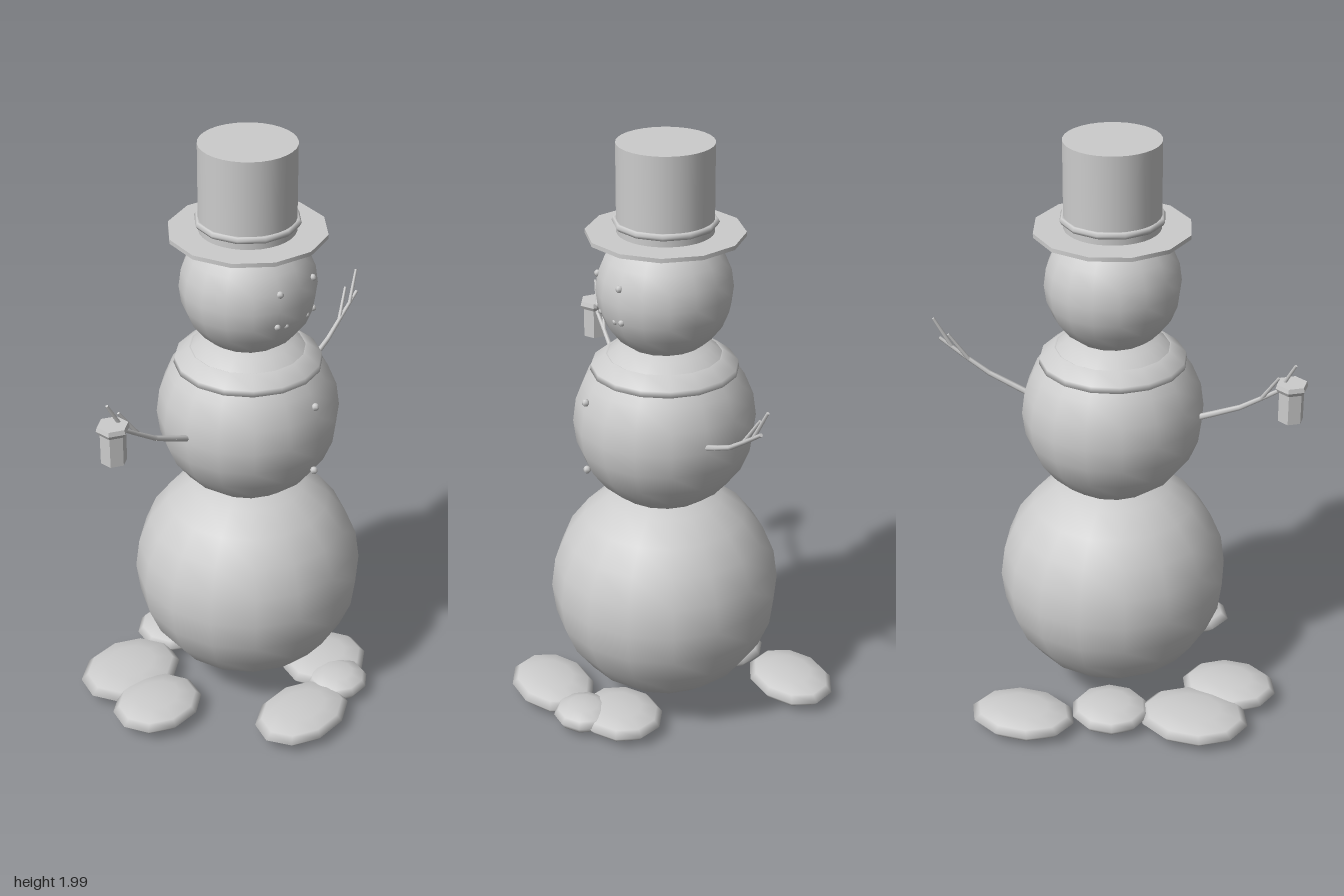
import * as THREE from 'three';

const snowGrey = new THREE.MeshStandardMaterial({ color: 0xcccccc });
const CX = 0.011, CZ = 0.007; // axis of the stacked body

export function createModel() {
  const model = new THREE.Group();
  model.name = 'snowman';

  const add = (name, geometry, x, y, z, parent = model) => {
    const mesh = new THREE.Mesh(geometry, snowGrey);
    mesh.name = name;
    mesh.position.set(x, y, z);
    parent.add(mesh);
    return mesh;
  };

  // Tapered round stick between two points
  const stick = (name, a, b, ra, rb, parent) => {
    const from = new THREE.Vector3(...a), to = new THREE.Vector3(...b);
    const dir = to.clone().sub(from);
    const mid = from.add(to).multiplyScalar(0.5);
    const mesh = add(name, new THREE.CylinderGeometry(rb, ra, dir.length(), 6), mid.x, mid.y, mid.z, parent);
    mesh.quaternion.setFromUnitVectors(new THREE.Vector3(0, 1, 0), dir.normalize());
  };

  // Three snowballs
  for (const [name, r, y] of [['lowerBall', 0.387, 0.44], ['middleBall', 0.302, 1.06], ['head', 0.222, 1.517]]) {
    add(name, new THREE.SphereGeometry(r, 16, 12), CX, y, CZ);
  }

  // Flattened snow mounds round the base: x, z, half width, half depth
  const mounds = [
    [0.215, -0.385, 0.182, 0.136], [-0.065, -0.28, 0.135, 0.13],
    [-0.345, -0.23, 0.19, 0.155], [-0.42, -0.03, 0.165, 0.14],
    [-0.13, 0.375, 0.188, 0.136], [0.09, 0.355, 0.108, 0.103], [0.15, 0.245, 0.16, 0.14],
  ];
  mounds.forEach(([x, z, rx, rz], i) => {
    const mound = add('snowMound', new THREE.SphereGeometry(1, 10, 6), x, 0.048 + (i % 2) * 0.004, z);
    mound.scale.set(rx, 0.042, rz);
  });

  // Hat
  const hat = new THREE.Group();
  hat.name = 'hat';
  hat.position.set(CX, 0, 0.004);
  model.add(hat);
  add('hatBrim', new THREE.CylinderGeometry(0.256, 0.256, 0.014, 12), 0, 1.704, 0, hat);
  add('hatCrown', new THREE.CylinderGeometry(0.156, 0.156, 0.295, 32), 0, 1.8525, 0, hat);
  const band = add('hatBand', new THREE.TorusGeometry(0.159, 0.012, 6, 12), 0, 1.744, 0, hat);
  band.rotation.x = Math.PI / 2;

  // Collar lying on the shoulders
  const collar = [[0.225, 1.235], [0.243, 1.24], [0.24, 1.26], [0.193, 1.297], [0.18, 1.29]];
  add('collar', new THREE.LatheGeometry(collar.map(p => new THREE.Vector2(...p)), 16), CX, 0, CZ);

  // Eyes, mouth pebbles and buttons
  const pebble = (name, x, y, z, r) => add(name, new THREE.SphereGeometry(r, 6, 5), x, y, z);
  for (const s of [-1, 1]) {
    pebble('eye', CX + s * 0.079, 1.575, 0.205, 0.012);
    pebble('mouthPebble', CX + s * 0.087, 1.464, 0.202, 0.011);
    pebble('mouthPebble', CX + s * 0.05, 1.456, 0.206, 0.01);
  }
  for (const y of [1.172, 0.932]) pebble('button', CX, y, 0.291, 0.013);

  // Stick arms with twig fingers
  for (const s of [1, -1]) {
    const arm = new THREE.Group();
    arm.name = s > 0 ? 'leftArm' : 'rightArm';
    model.add(arm);
    const at = (x, y, z) => [0.01 + s * (x - 0.01), y, z];
    const path = [[0.27, 1.062, 0.006], [0.36, 1.1, 0.003], [0.44, 1.136, -0.003], [0.525, 1.192, -0.01], [0.61, 1.25, -0.015]];
    for (let i = 0; i < path.length - 1; i++) {
      stick('armBranch', at(...path[i]), at(...path[i + 1]), 0.011 - i * 0.0012, 0.0098 - i * 0.0012, arm);
    }
    stick('twig', at(0.51, 1.182, -0.01), at(0.57, 1.275, -0.034), 0.007, 0.005, arm);
    stick('twig', at(0.568, 1.222, -0.012), at(0.622, 1.325, -0.03), 0.007, 0.005, arm);
  }

  // Hanging hexagonal lantern
  const lantern = new THREE.Group();
  lantern.name = 'lantern';
  lantern.position.set(-0.59, 0, -0.02);
  model.add(lantern);
  const hex = (name, rt, rb, y0, y1) => {
    const g = new THREE.CylinderGeometry(rt, rb, y1 - y0, 6).toNonIndexed();
    g.computeVertexNormals();
    add(name, g, 0, (y0 + y1) / 2, 0, lantern);
  };
  hex('lanternBody', 0.042, 0.042, 1.127, 1.235);
  hex('lanternCapUnderside', 0.054, 0.046, 1.23, 1.243);
  hex('lanternCap', 0.05, 0.054, 1.243, 1.258);

  return model;
}
